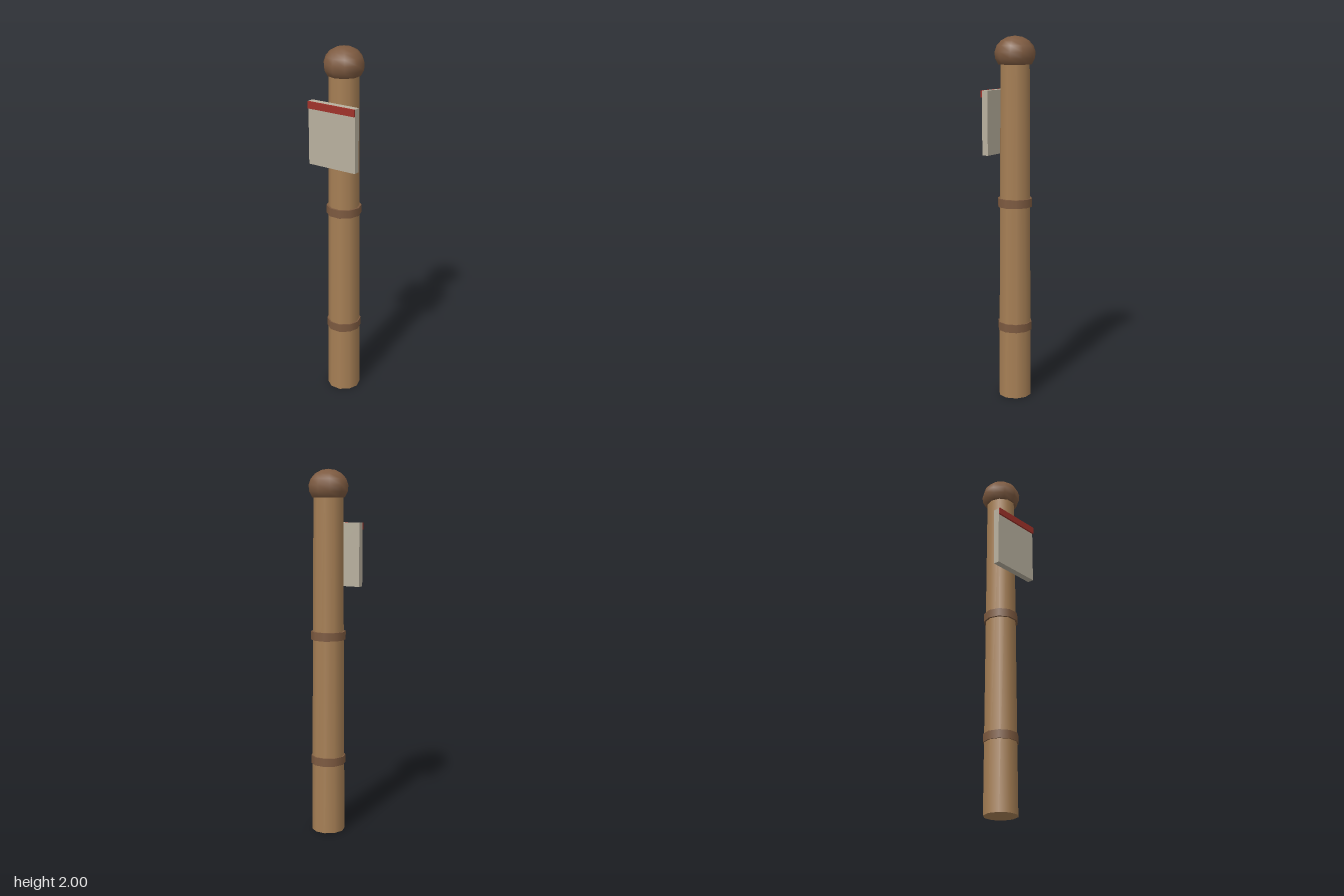
import * as THREE from 'three';

const SIDES = 10;
const AXIS_Z = -0.0085; // the post stands slightly behind the centre

function material(name, color) {
  const m = new THREE.MeshStandardMaterial({ color });
  m.name = name;
  return m;
}

export function createModel() {
  const group = new THREE.Group();
  group.name = 'signPost';

  const wood = material('wood', 0xa67f55);
  const darkWood = material('darkWood', 0x7d5a40);
  const board = material('board', 0xb8b09e);
  const red = material('red', 0xa0322a);

  const add = (name, geometry, mat, x, y, z) => {
    const mesh = new THREE.Mesh(geometry, mat);
    mesh.name = name;
    mesh.position.set(x, y, z);
    group.add(mesh);
    return mesh;
  };

  // Tapered post, corners pointing to the sides
  const postHeight = 1.87;
  const post = new THREE.CylinderGeometry(0.08, 0.0915, postHeight, SIDES);
  post.rotateY(Math.PI / 2);
  add('post', post, wood, 0, postHeight / 2, AXIS_Z);

  // Two bands around the post
  [['lowerBand', 0.408], ['upperBand', 1.107]].forEach(([name, y]) => {
    const band = new THREE.CylinderGeometry(0.0955, 0.0955, 0.046, SIDES);
    band.rotateY(Math.PI / 2);
    add(name, band, darkWood, 0, y, AXIS_Z);
  });

  // Squashed ball finial, cut off flat at the bottom
  const radius = 0.11, squash = 0.86, cut = Math.PI * 0.7;
  const centreY = 2 - radius * squash;
  const ball = new THREE.SphereGeometry(radius, SIDES, 6, 0, Math.PI * 2, 0, cut);
  ball.rotateY(Math.PI / 2);
  ball.scale(1, squash, 1);
  add('finial', ball, darkWood, 0, centreY, AXIS_Z);

  const base = new THREE.CircleGeometry(radius * Math.sin(cut), SIDES);
  base.rotateX(Math.PI / 2);
  base.rotateY(Math.PI / 2);
  add('finialBase', base, darkWood, 0, centreY + radius * squash * Math.cos(cut), AXIS_Z);

  // Notice board with a red strip along its top edge
  add('noticeBoard', new THREE.BoxGeometry(0.291, 0.345, 0.035), board, 0, 1.5435, 0.0895);
  add('redStrip', new THREE.BoxGeometry(0.291, 0.038, 0.0095), red, 0, 1.697, 0.11175);

  return group;
}
